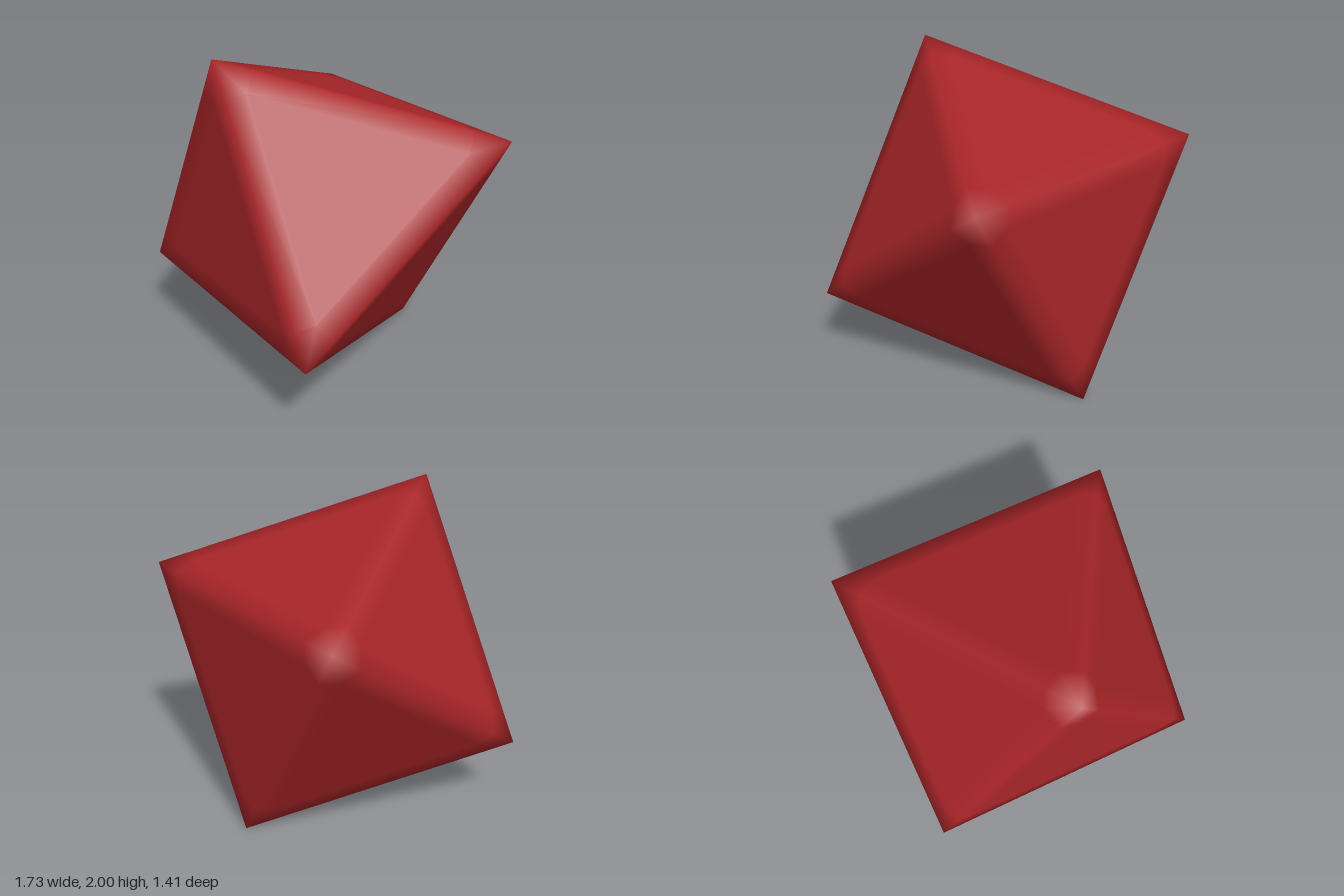
import * as THREE from 'three';

// Regular octahedron resting on one corner, with sharp corners but softly shaded edges.
export function createModel() {
  const model = new THREE.Group();
  model.name = 'eightSidedDie';

  // The front triangle, and its opposite mirrored through the centre.
  const h = Math.SQRT1_2, w = Math.sqrt(3) / 2;
  const front = [[0, 1, h], [-w, -0.5, h], [w, -0.5, h]].map(p => new THREE.Vector3(...p));
  const axes = front.map(p => p.clone().normalize());
  const radius = front[0].length();
  const rim = 0.13; // width of the softly shaded band along each edge

  const material = new THREE.MeshStandardMaterial({ color: 0xa82528 });

  // One face: flat inner triangle, three edge strips and three corner kites.
  function faceGeometry(signs) {
    let units = axes.map((a, i) => a.clone().multiplyScalar(signs[i]));
    if (signs[0] * signs[1] * signs[2] < 0) units = [units[0], units[2], units[1]];
    const flat = units[0].clone().add(units[1]).add(units[2]).normalize();
    const positions = [], normals = [], index = [];
    const add = (p, n) => {
      positions.push(p.x, p.y + 1, p.z);
      normals.push(n.x, n.y, n.z);
    };
    const along = rim * Math.sqrt(3) / (radius * Math.SQRT2); // rim ends as a share of the edge

    units.forEach((u, i) => {
      const next = units[(i + 1) % 3], prev = units[(i + 2) % 3];
      const v = u.clone().multiplyScalar(radius);
      const toNext = next.clone().multiplyScalar(radius).sub(v);
      const toPrev = prev.clone().multiplyScalar(radius).sub(v);
      const share = along * 2 / 3;
      add(v, u);
      add(v.clone().addScaledVector(toNext, along), u.clone().add(next).normalize());
      add(v.clone().addScaledVector(toNext, share).addScaledVector(toPrev, share), flat);
      add(v.clone().addScaledVector(toPrev, along), u.clone().add(prev).normalize());
      const a = i * 4, b = ((i + 1) % 3) * 4;
      index.push(a, a + 1, a + 2, a, a + 2, a + 3);             // corner kite
      index.push(a + 1, b + 3, b + 2, a + 1, b + 2, a + 2);     // edge strip
    });
    index.push(2, 6, 10);                                        // flat middle

    const geometry = new THREE.BufferGeometry();
    geometry.setAttribute('position', new THREE.Float32BufferAttribute(positions, 3));
    geometry.setAttribute('normal', new THREE.Float32BufferAttribute(normals, 3));
    geometry.setIndex(index);
    return geometry;
  }

  // Eight faces, one for each combination of axis signs.
  for (const a of [1, -1]) for (const b of [1, -1]) for (const c of [1, -1]) {
    const face = new THREE.Mesh(faceGeometry([a, b, c]), material);
    face.name = 'face';
    model.add(face);
  }
  return model;
}
